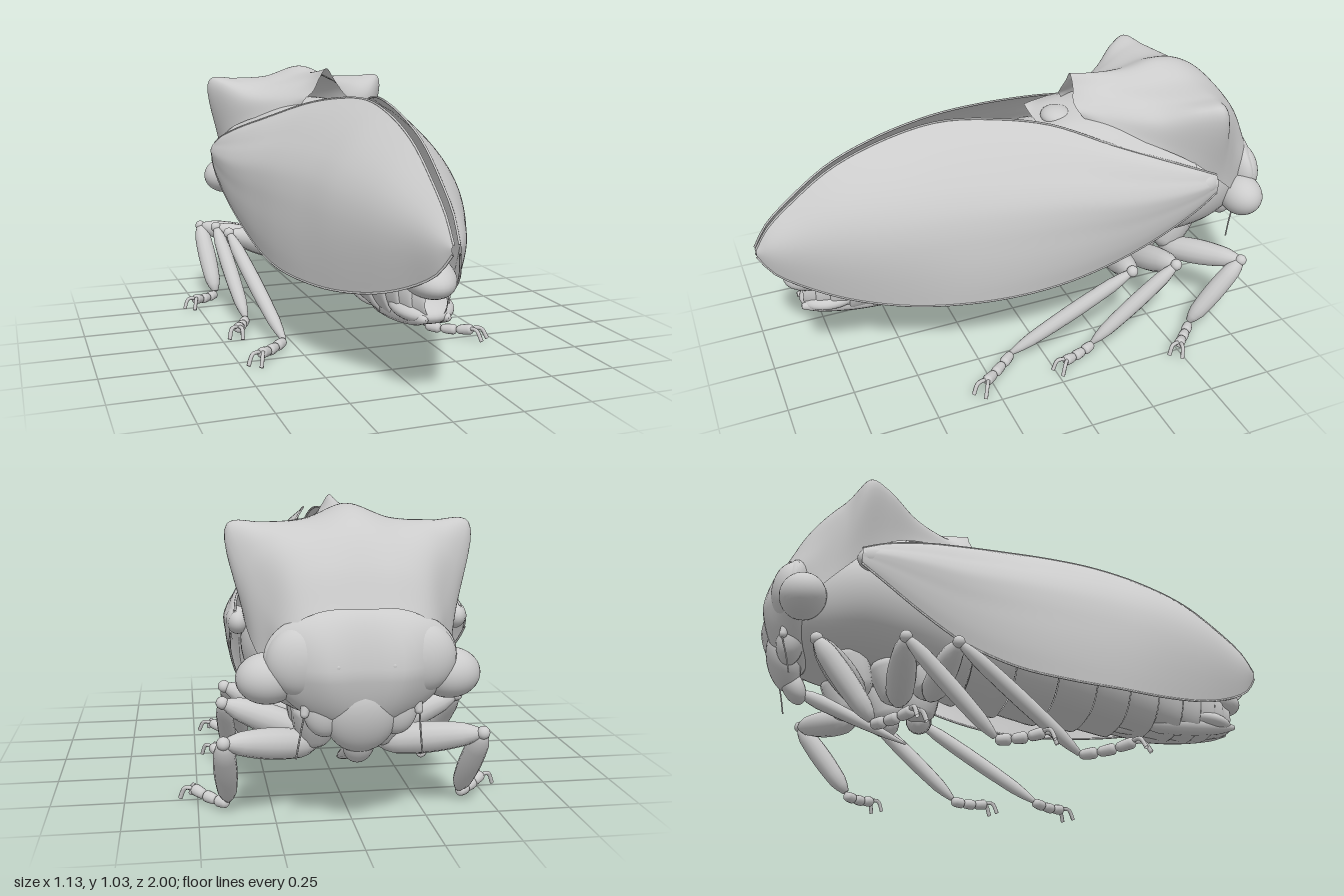
import * as THREE from 'three';

const V = (x, y, z) => new THREE.Vector3(x, y, z);
const material = new THREE.MeshStandardMaterial({ color: 0xcccccc, side: THREE.DoubleSide });

function add(parent, name, geometry) {
  const mesh = new THREE.Mesh(geometry, material);
  mesh.name = name;
  parent.add(mesh);
  return mesh;
}

// Smooth surface through rows of control points
function loft(rows, nu, nv) {
  const columns = rows[0].map((_, j) => new THREE.CatmullRomCurve3(rows.map(r => r[j])));
  const positions = [], index = [];
  for (let i = 0; i <= nu; i++) {
    const section = new THREE.CatmullRomCurve3(columns.map(c => c.getPoint(i / nu)));
    for (let j = 0; j <= nv; j++) positions.push(...section.getPoint(j / nv).toArray());
  }
  for (let i = 0; i < nu; i++) for (let j = 0; j < nv; j++) {
    const a = i * (nv + 1) + j, b = a + nv + 1;
    index.push(a, a + 1, b, a + 1, b + 1, b);
  }
  const g = new THREE.BufferGeometry();
  g.setAttribute('position', new THREE.Float32BufferAttribute(positions, 3));
  g.setIndex(index);
  g.computeVertexNormals();
  return g;
}

// Half sections, from the middle outwards, completed by their mirror image
const mirrored = halves => halves.map(h => [
  ...h.slice(1).reverse().map(([x, y, z]) => V(-x, y, z)), ...h.map(p => V(...p)),
]);

// Closed oval section of a body, squarer below
const ring = (z, width, top, bottom, flare = 1) => Array.from({ length: 25 }, (_, j) => {
  const a = j / 24 * Math.PI * 2, s = Math.sin(a), c = Math.cos(a);
  const x = Math.sign(s) * Math.abs(s) ** (c < 0 ? .7 : 1);
  return V(x * width * flare, (top + bottom) / 2 + c * (top - bottom) / 2 * flare, z);
});

function ellipsoid(parent, name, p, s, tilt = 0) {
  const m = add(parent, name, new THREE.SphereGeometry(1, 32, 20));
  m.position.set(...p);
  m.scale.set(...s);
  m.rotation.x = tilt;
}

// Round limb from a to b, with an optional swelling in the middle
function limb(parent, name, a, b, r1, r2, swell = 0) {
  const length = a.distanceTo(b), profile = [V(0, 0, 0)];
  for (let i = 0; i <= 12; i++) {
    const t = i / 12, cap = Math.min(1, Math.sqrt(Math.sin(Math.PI * (0.04 + 0.92 * t))) * 1.4);
    profile.push(V((r1 + (r2 - r1) * t + swell * Math.sin(Math.PI * t)) * cap, t * length, 0));
  }
  profile.push(V(0, length, 0));
  const m = add(parent, name, new THREE.LatheGeometry(profile, 14));
  m.position.copy(a);
  m.quaternion.setFromUnitVectors(V(0, 1, 0), b.clone().sub(a).normalize());
}

const tube = (points, r, n = 40) => new THREE.TubeGeometry(new THREE.CatmullRomCurve3(points), n, r, 6);

function buildThorax(root) {
  // Shield: from the ridge out to the horn and down the flank
  add(root, 'pronotum', loft(mirrored([
    [[0, 1.04, -.23], [.03, 1.0, -.23], [.06, .95, -.22], [.09, .92, -.23], [.105, .89, -.25]],
    [[0, 1.025, -.33], [.05, .99, -.33], [.10, .955, -.33], [.15, .91, -.33], [.18, .86, -.34]],
    [[0, 1.015, -.48], [.10, .98, -.48], [.19, .955, -.48], [.27, .91, -.48], [.285, .81, -.48]],
    [[0, 1.035, -.60], [.13, .99, -.60], [.26, .975, -.60], [.36, .965, -.60], [.335, .76, -.58]],
    [[0, 1.02, -.70], [.14, .985, -.70], [.28, .98, -.69], [.392, .975, -.67], [.345, .70, -.66]],
    [[0, .97, -.79], [.13, .945, -.79], [.26, .92, -.77], [.34, .85, -.74], [.325, .62, -.75]],
    [[0, .87, -.87], [.12, .86, -.87], [.22, .83, -.85], [.28, .74, -.82], [.29, .56, -.82]],
    [[0, .74, -.93], [.11, .74, -.93], [.19, .71, -.92], [.24, .65, -.90], [.24, .53, -.88]],
  ]), 56, 64));
  // Arched back joining the shield to the upper wing edges
  add(root, 'mesonotum', loft(mirrored([
    [[0, .90, -.60], [.20, .86, -.60], [.36, .735, -.60]],
    [[0, .91, -.45], [.17, .87, -.45], [.315, .79, -.45]],
    [[0, .91, -.30], [.13, .89, -.30], [.245, .84, -.30]],
    [[0, .89, -.17], [.09, .89, -.17], [.17, .87, -.17]],
    [[0, .86, -.10], [.07, .865, -.10], [.13, .88, -.10]],
  ]), 24, 32));
  ellipsoid(root, 'scutellumTip', [0, .875, -.18], [.07, .035, .06]);
  add(root, 'thorax', loft([
    ring(-.18, .20, .82, .34), ring(-.35, .28, .83, .34), ring(-.50, .33, .82, .35), ring(-.65, .35, .84, .36),
    ring(-.78, .305, .80, .37), ring(-.87, .24, .72, .40), ring(-.92, .1, .62, .45),
  ], 36, 48));
}

function buildWing(side) {
  // Stations: z, upper edge x and y, lower edge x and y
  const stations = [
    [-.68, .37, .70, .385, .63], [-.60, .36, .735, .385, .57], [-.45, .31, .79, .365, .47],
    [-.30, .24, .84, .34, .39], [-.10, .13, .91, .32, .33], [.10, .07, .945, .305, .31],
    [.30, .03, .955, .275, .31], [.50, .02, .92, .22, .32], [.70, .017, .845, .145, .355],
    [.85, .015, .74, .08, .41], [.95, .013, .65, .038, .47], [1.0, .01, .57, .012, .54],
  ];
  const rows = stations.map(([z, xt, yt, xb, yb]) => {
    const size = Math.min(1, (yt - yb) / .6), fade = Math.max(0, (.6 - z) / 1.3);
    return Array.from({ length: 11 }, (_, j) => {
      const t = j / 10, bulge = Math.sin(Math.PI * t) * size;
      const ripple = .01 * fade * size * Math.sin(t * Math.PI * 5) * (1 - t * .6);
      return V(xt + (xb - xt) * t + .1 * bulge + ripple, yt + (yb - yt) * t + .055 * bulge, z);
    });
  });
  add(side, 'wing', loft(rows, 70, 40));
  add(side, 'wingMargin', tube(rows.map(r => r[10]), .004));
  add(side, 'wingInnerEdge', tube(rows.map(r => r[0]), .004));
  ellipsoid(side, 'wingHinge', [.36, .665, -.635], [.038, .045, .06]);
}

function buildAbdomen(root) {
  // Control stations: z, half width, top, bottom
  const stations = [[-.4, .25, .82, .36], [-.1, .275, .85, .30], [.2, .245, .79, .27],
    [.45, .195, .69, .25], [.65, .135, .59, .245], [.78, .09, .49, .26], [.86, .04, .40, .30]];
  const size = new THREE.CatmullRomCurve3(stations.map(s => V(s[1], s[2], s[3])));
  const axis = new THREE.CatmullRomCurve3(stations.map(s => V(0, 0, s[0])));
  const count = 11;
  for (let k = 0; k < count; k++) {
    const rows = [0, .5, .93, 1].map((f, i) => {
      const t = (k + f) / count, s = size.getPoint(t);
      return ring(axis.getPoint(t).z, s.x, s.y, s.z, [.97, 1, 1.02, .95][i]);
    });
    add(root, 'abdomenSegment', loft(rows, 8, 48));
  }
  // Tail: anal tube and lower valves
  ellipsoid(root, 'analTube', [0, .425, .78], [.09, .065, .14], .15);
  ellipsoid(root, 'tailPlate', [0, .315, .74], [.105, .045, .13], .1);
  for (const s of [-1, 1]) limb(root, 'tailValve', V(s * .06, .275, .48), V(s * .04, .30, .87), .035, .02, .015);
  limb(root, 'ovipositor', V(0, .27, .35), V(0, .30, .86), .03, .012, .008);
}

function buildHead(root) {
  // Broad flattened face, narrowing below, with a lobed brow
  const g = new THREE.SphereGeometry(1, 48, 32), p = g.attributes.position;
  for (let i = 0; i < p.count; i++) {
    const x = p.getX(i), y = p.getY(i), z = p.getZ(i);
    const narrow = y < 0 ? 1 + .25 * y : 1 + .25 * y;
    const lobes = .01 * Math.cos(x * 8) * (1 - y * y);
    const lean = y < 0 ? -y * .03 : y * .01;
    p.setXYZ(i, x * .29 * narrow, .55 + y * .2, -.90 + z * .095 + (z < 0 ? lobes : 0) + lean);
  }
  g.computeVertexNormals();
  add(root, 'head', g);
  ellipsoid(root, 'clypeus', [0, .40, -.905], [.11, .12, .06], -.3);
  ellipsoid(root, 'labrum', [0, .30, -.86], [.05, .07, .04], -.5);
  limb(root, 'beak', V(0, .28, -.83), V(0, .12, -.44), .028, .006, .006);
}

function buildLeg(side, name, hip, trochanter, knee, ankle, toe, thick, shin) {
  const leg = new THREE.Group();
  leg.name = name;
  side.add(leg);
  limb(leg, 'coxa', hip, trochanter, .075, .05, .01);
  limb(leg, 'femur', trochanter, knee, thick * .8, thick * .5, thick * .35);
  ellipsoid(leg, 'knee', knee.toArray(), [.022, .022, .022]);
  limb(leg, 'tibia', knee, ankle, shin, shin * .9, shin * .35);
  // Three tarsal joints and a pair of hooked claws
  const dir = toe.clone().sub(ankle), out = V(dir.z, 0, -dir.x).normalize();
  const joint = [0, .28, .56, .85].map((t, i) => ankle.clone().addScaledVector(dir, t).setY([.03, .03, .035, .048][i]));
  for (let i = 0; i < 3; i++) limb(leg, 'tarsus', joint[i], joint[i + 1], .016, .02, .002);
  for (const s of [-1, 1]) {
    const claw = [-.04, .1, .2].map((t, i) => joint[3].clone().addScaledVector(dir, t)
      .addScaledVector(out, s * [.005, .02, .026][i]).setY([.05, .05, .012][i]));
    add(leg, 'claw', tube(claw, .008, 10));
  }
}

function buildSide(root, sign) {
  const side = new THREE.Group();
  side.name = sign > 0 ? 'leftSide' : 'rightSide';
  side.scale.x = sign;
  root.add(side);
  buildWing(side);

  // Eye with its socket, ocellus, cheek and antenna
  ellipsoid(side, 'eye', [.285, .525, -.865], [.098, .08, .082]);
  ellipsoid(side, 'eyeSocket', [.185, .585, -.905], [.11, .11, .07]);
  ellipsoid(side, 'ocellus', [.085, .58, -.985], [.011, .011, .01]);
  ellipsoid(side, 'cheek', [.11, .43, -.89], [.07, .09, .05]);
  limb(side, 'antennaBase', V(.17, .46, -.91), V(.18, .41, -.92), .018, .012);
  add(side, 'antenna', tube([V(.18, .41, -.92), V(.19, .34, -.90), V(.20, .27, -.885)], .003, 12));

  buildLeg(side, 'frontLeg', V(.12, .42, -.70), V(.11, .235, -.63), V(.42, .305, -.81), V(.40, .045, -.61), V(.535, .02, -.475), .052, .03);
  buildLeg(side, 'middleLeg', V(.12, .40, -.54), V(.11, .23, -.49), V(.41, .355, -.515), V(.365, .04, -.19), V(.445, .02, -.01), .052, .024);
  buildLeg(side, 'hindLeg', V(.11, .39, -.38), V(.12, .26, -.38), V(.395, .365, -.33), V(.295, .035, .13), V(.45, .02, .315), .05, .023);
}

export function createModel() {
  const root = new THREE.Group();
  root.name = 'treehopper';
  buildThorax(root);
  buildAbdomen(root);
  buildHead(root);
  buildSide(root, 1);
  buildSide(root, -1);
  return root;
}
